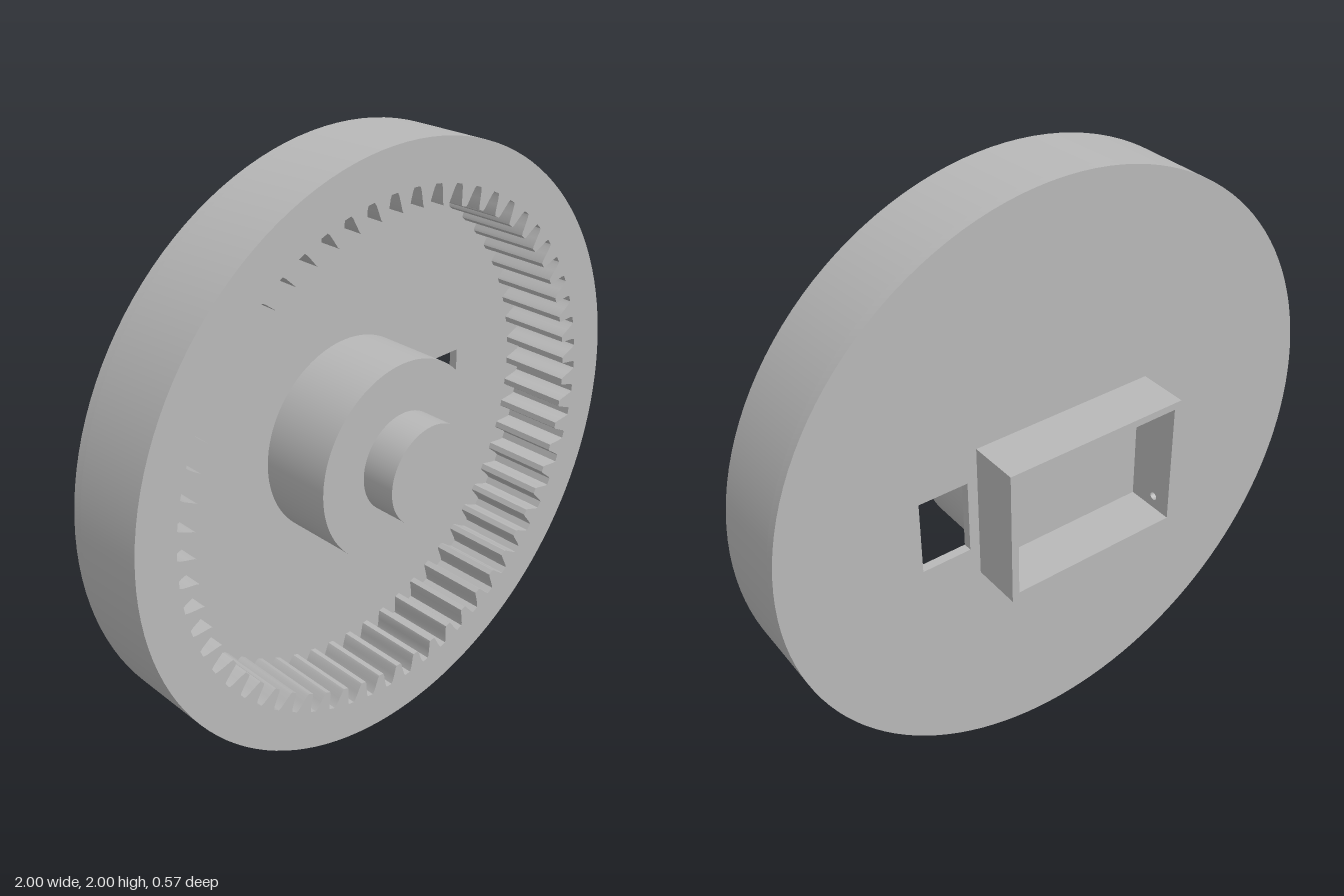
import * as THREE from 'three';
import { toCreasedNormals } from 'three/addons/utils/BufferGeometryUtils.js';

const TEETH = 60, CY = 1;
const FRONT = 0.165, FLOOR = -0.085, BACK = -0.115, BOX_BACK = -0.285;

export function createModel() {
  const model = new THREE.Group();
  model.name = 'ringGearWheel';
  const grey = new THREE.MeshStandardMaterial({ color: 0xb8b8b8 });
  grey.name = 'grey plastic';

  const add = (name, geometry) => {
    const mesh = new THREE.Mesh(geometry, grey);
    mesh.name = name;
    model.add(mesh);
    return mesh;
  };
  // Extrude a shape between two depths, smooth on curves and sharp at edges
  const slab = (shape, z0, z1) => {
    const g = new THREE.ExtrudeGeometry(shape, { depth: z1 - z0, bevelEnabled: false, curveSegments: 64 });
    g.translate(0, 0, z0);
    return toCreasedNormals(g, 0.25);
  };
  const circle = (Type, x, y, r) => new Type().absarc(x, y, r, 0, Math.PI * 2, false);
  const polygon = (Type, pts) => new Type(pts.map(([x, y]) => new THREE.Vector2(x, y)));
  const rect = (Type, x0, y0, x1, y1) => polygon(Type, [[x0, y0], [x1, y0], [x1, y1], [x0, y1]]);

  // Outer ring with internal spur teeth: [radius, half angle in degrees] of one tooth flank
  const flank = [[0.865, 2.2], [0.855, 1.86], [0.833, 1.45], [0.808, 1.0], [0.8, 0.7]];
  const toothPoints = [];
  for (let i = 0; i < TEETH; i++) {
    const mid = (i * 360) / TEETH;
    const put = (r, deg) => {
      const a = THREE.MathUtils.degToRad(mid + deg);
      toothPoints.push([r * Math.cos(a), CY + r * Math.sin(a)]);
    };
    flank.forEach(([r, d]) => put(r, -d));
    [...flank].reverse().forEach(([r, d]) => put(r, d));
  }
  const ring = circle(THREE.Shape, 0, CY, 1);
  ring.holes.push(polygon(THREE.Path, toothPoints));
  add('toothedRing', slab(ring, FLOOR, FRONT));

  // Thin back plate with a rectangular window
  const plate = circle(THREE.Shape, 0, CY, 1);
  plate.holes.push(rect(THREE.Path, 0.355, 0.875, 0.525, 1.13));
  add('backPlate', slab(plate, BACK, FLOOR));

  // Central hub and axle pin
  const disc = (name, r, z0, z1) => {
    const g = new THREE.CylinderGeometry(r, r, z1 - z0, 96);
    g.rotateX(Math.PI / 2);
    g.translate(0, CY, (z0 + z1) / 2);
    add(name, g);
  };
  disc('hub', 0.333, FLOOR, FRONT);
  disc('axlePin', 0.166, FRONT, 0.285);

  // Open box on the back: three plain walls
  const x0 = -0.325, x1 = 0.32, y0 = 0.765, y1 = 1.24, t = 0.025;
  const walls = polygon(THREE.Shape, [
    [x0 + t, y0], [x1, y0], [x1, y1], [x0 + t, y1],
    [x0 + t, y1 - t], [x1 - t, y1 - t], [x1 - t, y0 + t], [x0 + t, y0 + t],
  ]);
  add('boxWalls', slab(walls, BOX_BACK, BACK));

  // Fourth wall with two screw holes
  const side = rect(THREE.Shape, -BACK, y0, -BOX_BACK, y1);
  for (const y of [0.835, 1.17]) side.holes.push(circle(THREE.Path, 0.215, y, 0.014));
  const sideGeometry = slab(side, x0, x0 + t);
  sideGeometry.rotateY(Math.PI / 2);
  add('drilledBoxWall', sideGeometry);

  return model;
}
